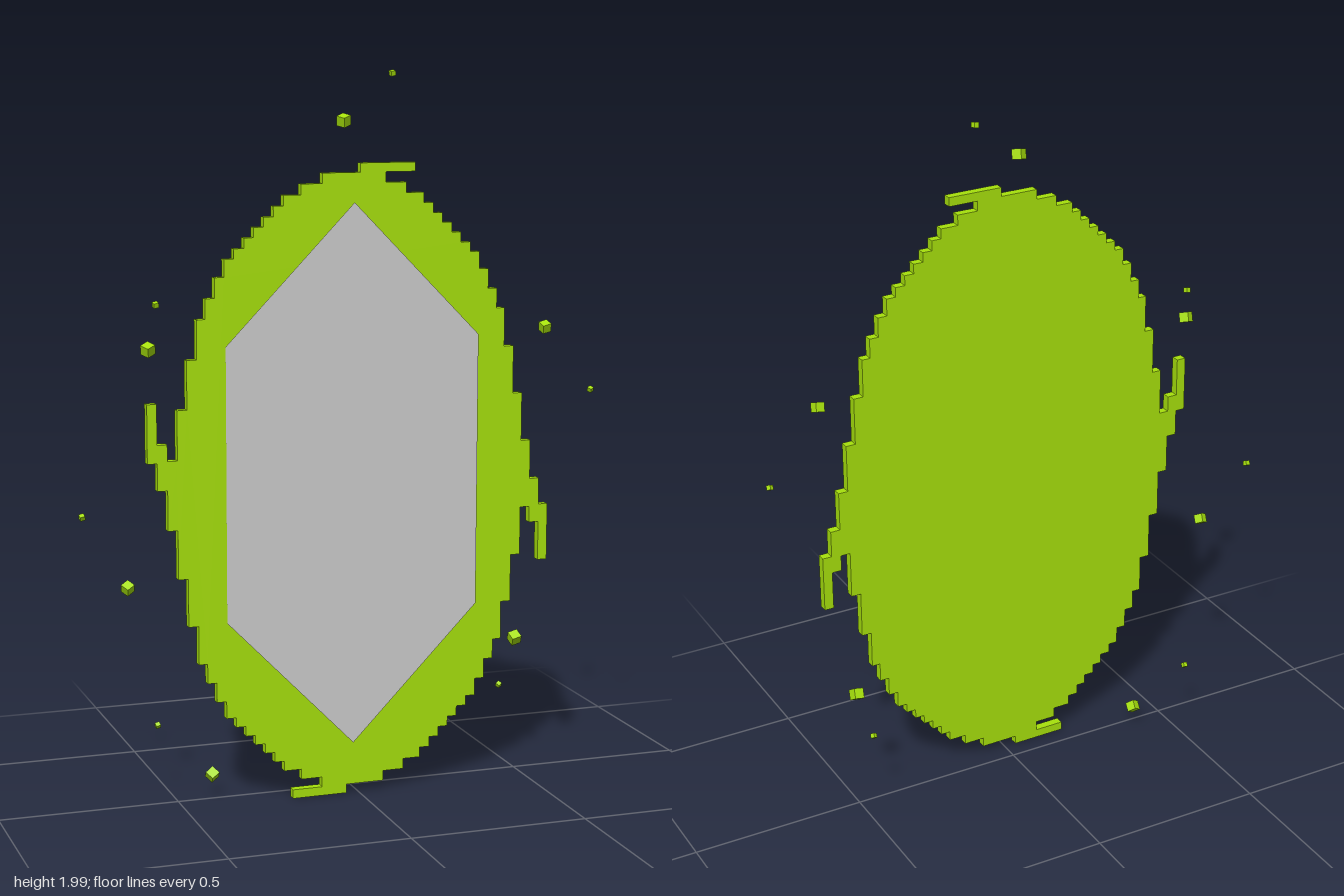
import * as THREE from 'three';

const CX = -0.0175, CY = 0.88, CZ = 0.07, DEPTH = 0.025;

// Stepped oval: half-width and half-height of each stair corner, top to side
const STEPS = [
  [0.09, 0.85], [0.15, 0.822], [0.2, 0.793], [0.228, 0.765], [0.255, 0.737], [0.283, 0.71],
  [0.31, 0.683], [0.338, 0.655], [0.365, 0.628], [0.392, 0.58], [0.418, 0.525], [0.442, 0.47],
  [0.47, 0.363], [0.4975, 0.23],
];

// Arm blocks relative to the oval centre: x0, x1, y0, y1 (repeated by a half turn)
const ARMS = {
  topArm: [[0.0175, 0.175, 0.85, 0.875]],
  sideArm: [[0.4975, 0.525, -0.095, 0.095], [0.525, 0.553, -0.14, -0.015], [0.553, 0.58, -0.25, -0.09]],
};

// Floating cubes: x, y, z, size
const CUBES = [
  [0.145, 1.99, -0.063, 0.014], [-0.017, 1.865, 0, 0.028], [-0.543, 1.382, -0.015, 0.014],
  [-0.58, 1.27, 0.043, 0.028], [0.588, 1.28, -0.015, 0.026], [0.741, 1.092, -0.035, 0.013],
  [-0.745, 0.81, -0.052, 0.014], [-0.638, 0.622, 0.017, 0.026], [0.508, 0.383, -0.022, 0.029],
  [0.468, 0.243, -0.04, 0.013], [-0.534, 0.203, -0.084, 0.013], [-0.396, 0.066, -0.022, 0.027],
];

function ovalShape() {
  const quarter = [];
  let lastY = STEPS[0][1];
  STEPS.forEach(([w, h], i) => {
    // tread at height h out to w, then riser down to the next step
    quarter.push([w, h]);
    lastY = i + 1 < STEPS.length ? STEPS[i + 1][1] : 0;
    if (lastY > 0) quarter.push([w, lastY]);
  });
  const reversed = [...quarter].reverse();
  const outline = [
    ...quarter,
    ...reversed.map(([x, y]) => [x, -y]),
    ...quarter.map(([x, y]) => [-x, -y]),
    ...reversed.map(([x, y]) => [-x, y]),
  ];
  return new THREE.Shape(outline.map(([x, y]) => new THREE.Vector2(x, y)));
}

export function createModel() {
  const model = new THREE.Group();
  model.name = 'portal';
  const green = new THREE.MeshStandardMaterial({ color: 0xa6e00c, flatShading: true });
  const grey = new THREE.MeshStandardMaterial({ color: 0xcccccc, side: THREE.DoubleSide });

  const add = (parent, name, geometry, material, x, y, z) => {
    const mesh = new THREE.Mesh(geometry, material);
    mesh.name = name;
    mesh.position.set(x, y, z);
    parent.add(mesh);
    return mesh;
  };

  // Disc assembly leans and turns very slightly
  const disc = new THREE.Group();
  disc.name = 'disc';
  disc.position.set(CX, CY, CZ);
  disc.rotation.set(0.0077, 0.011, 0);
  model.add(disc);

  const oval = new THREE.ExtrudeGeometry(ovalShape(), { depth: DEPTH, bevelEnabled: false });
  add(disc, 'steppedOval', oval, green, 0, 0, -DEPTH / 2);

  // Swirl arms on four sides
  for (const [name, blocks] of Object.entries(ARMS)) {
    for (const s of [1, -1]) {
      const arm = new THREE.Group();
      arm.name = name;
      arm.rotation.z = s > 0 ? 0 : Math.PI;
      disc.add(arm);
      for (const [x0, x1, y0, y1] of blocks) {
        add(arm, name + 'Block', new THREE.BoxGeometry(x1 - x0, y1 - y0, DEPTH), green,
          (x0 + x1) / 2, (y0 + y1) / 2, 0);
      }
    }
  }

  // Hexagonal pane on the front face
  const hexagon = new THREE.Shape(
    [[0, 0.77], [-0.363, 0.395], [-0.363, -0.36], [0, -0.73], [0.363, -0.36], [0.363, 0.4]]
      .map(([x, y]) => new THREE.Vector2(x, y)));
  add(disc, 'hexagonPane', new THREE.ShapeGeometry(hexagon), grey, 0, 0, DEPTH / 2 + 0.004);

  // Tumbling cubes around the rim
  CUBES.forEach(([x, y, z, size], i) => {
    const cube = add(model, 'floatingCube', new THREE.BoxGeometry(size, size, size), green, x, y, z);
    cube.rotation.set(0.2 + i * 0.05, i % 2 ? 0.6 : 0.2, 0.15);
  });

  return model;
}
